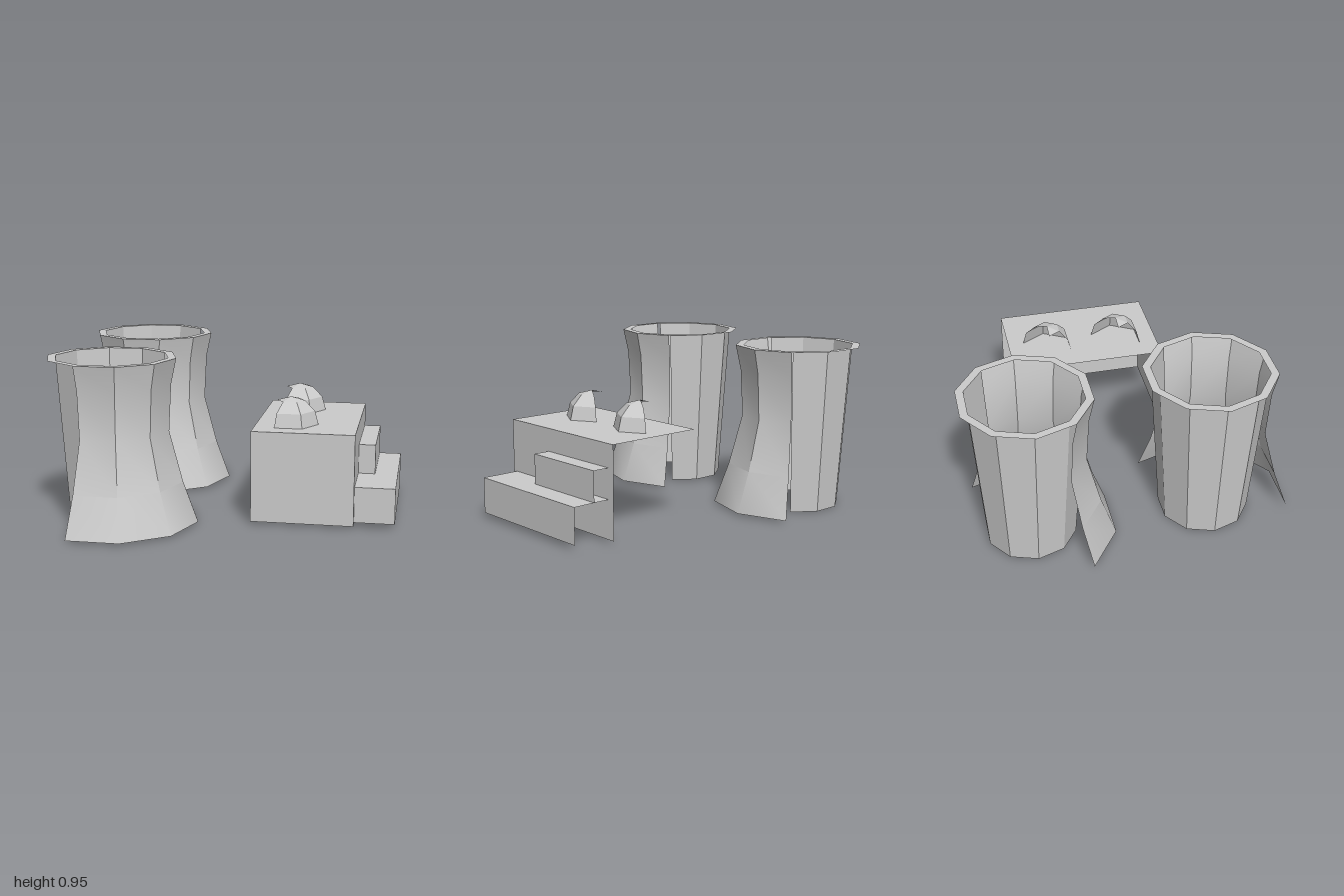
import * as THREE from 'three';
import { toCreasedNormals, mergeGeometries } from 'three/addons/utils/BufferGeometryUtils.js';

const SIDE = Math.PI / 5; // one side of a ten-sided tower
const smooth = new THREE.MeshStandardMaterial({ color: 0xcccccc, side: THREE.DoubleSide });
const flat = new THREE.MeshStandardMaterial({ color: 0xcccccc, side: THREE.DoubleSide, flatShading: true });

function mesh(name, geometry, material = flat) {
  const m = new THREE.Mesh(geometry, material);
  m.name = name;
  return m;
}

// Partial lathe; angles run from +x towards the back (-z)
function arc(profile, sides, start, length) {
  const points = profile.map(([r, y]) => new THREE.Vector2(r, y));
  return new THREE.LatheGeometry(points, sides, start + Math.PI / 2, length);
}

// Cooling tower: flared shell on the front, tapered lining on the back, full rim
function tower(name, z, shellSides) {
  const g = new THREE.Group();
  g.name = name;
  const shell = arc([[0.492, 0.012], [0.406, 0.245], [0.328, 0.538], [0.342, 0.81], [0.373, 0.955]],
    shellSides, (1 - shellSides) * SIDE, shellSides * SIDE);
  g.add(mesh('flaredShell', toCreasedNormals(shell, 0.6), smooth));
  g.add(mesh('innerLining', arc([[0.326, 0.955], [0.26, 0]], 6, SIDE, 6 * SIDE)));
  const rim = new THREE.RingGeometry(0.326, 0.373, 10).rotateX(-Math.PI / 2).translate(0, 0.955, 0);
  g.add(mesh('rim', rim));
  g.position.set(-0.603, 0, z);
  return g;
}

// Open block made of a top, a front (+z) and an outer (+x) panel
function block(name, [x0, x1], [y0, y1], [z0, z1]) {
  const w = x1 - x0, h = y1 - y0, d = z1 - z0;
  const cx = (x0 + x1) / 2, cy = (y0 + y1) / 2, cz = (z0 + z1) / 2;
  return mesh(name, mergeGeometries([
    new THREE.PlaneGeometry(w, d).rotateX(-Math.PI / 2).translate(cx, y1, cz),
    new THREE.PlaneGeometry(w, h).translate(cx, cy, z1),
    new THREE.PlaneGeometry(d, h).rotateY(Math.PI / 2).translate(x1, cy, cz),
  ]));
}

// Six-sided dome with three full sides and one cap panel
function dome(name, z) {
  const r = 0.16, step = Math.PI / 3;
  const ring = [0, 1, 2, 3].map(i => [r * Math.cos(i * Math.PI / 6), r * Math.sin(i * Math.PI / 6)]);
  ring[3][0] = 0;
  const g = new THREE.Group();
  g.name = name;
  g.add(mesh('domeSides', arc(ring, 3, -2 * step, 3 * step)));
  g.add(mesh('domeCap', arc(ring.slice(2), 1, -3 * step, step)));
  g.position.set(0.38, 0.542, z);
  return g;
}

export function createModel() {
  const model = new THREE.Group();
  model.name = 'powerPlant';
  model.add(
    tower('backTower', -0.572, 5),
    tower('frontTower', 0.45, 4),
    block('mainBuilding', [0.182, 0.77], [0.014, 0.542], [-0.513, 0.398]),
    block('lowerAnnex', [0.77, 1], [0.03, 0.237], [-0.472, 0.37]),
    block('upperAnnex', [0.77, 0.868], [0.237, 0.41], [-0.472, 0.055]),
    dome('backDome', -0.28),
    dome('frontDome', 0.15),
  );
  return model;
}
